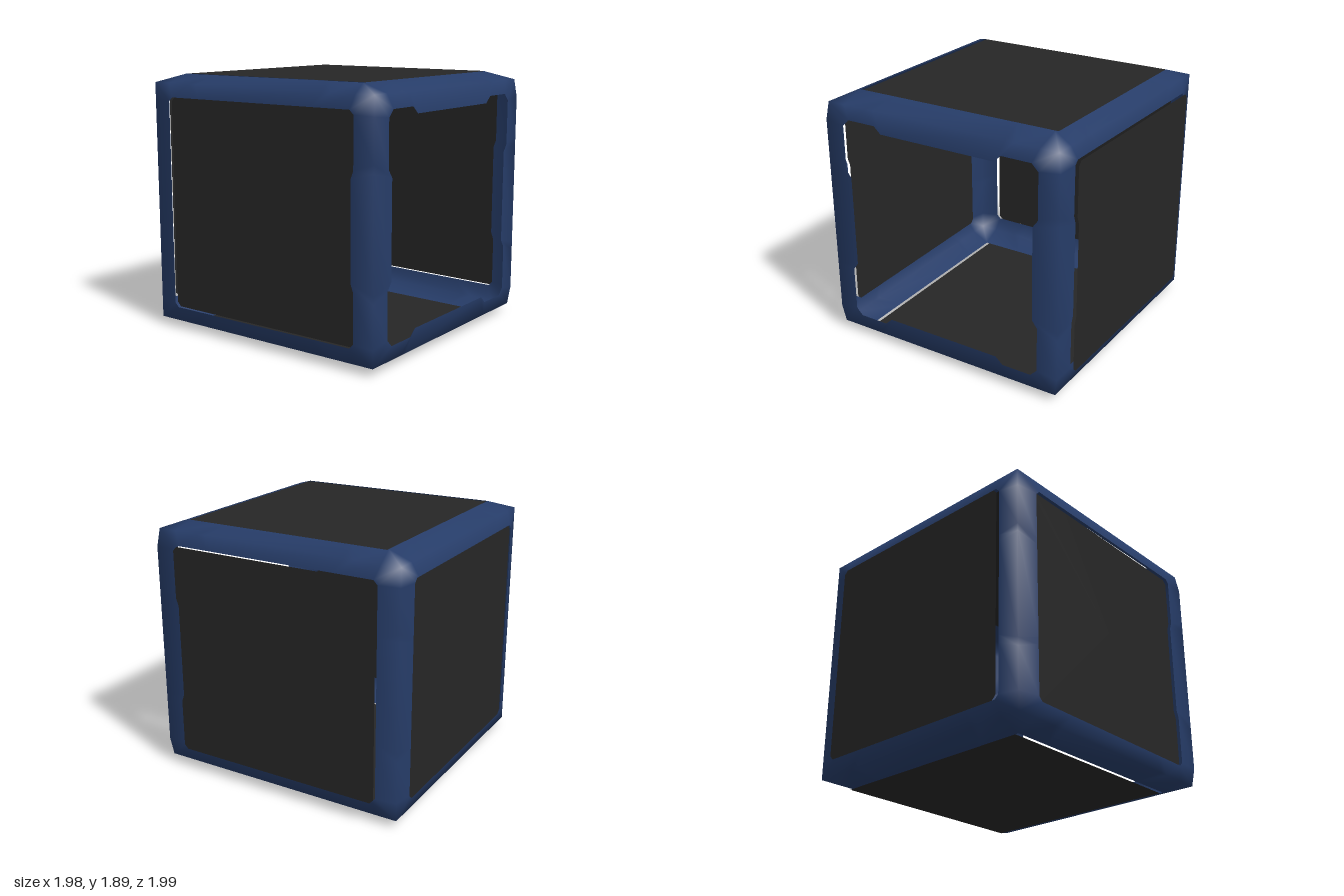
import * as THREE from 'three';
import { mergeVertices } from 'three/addons/utils/BufferGeometryUtils.js';

const V = (x, y, z) => new THREE.Vector3(x, y, z);
const LOW = 0.17, HIGH = 1.73;

// outer corner of the frame; the front is slightly narrower than the back
function corner(sx, sy, sz) {
  const y = sy > 0 ? 1.83 : 0.06;
  if (sz > 0) return sx > 0 ? V(0.895, y, 0.975) : V(-0.955, y, 0.965);
  return sx > 0 ? V(0.94, y, -0.95) : V(-0.97, y, -0.965);
}

// upright wall opening from its two lower corners
const wall = (a, b) => [V(a[0], LOW, a[1]), V(b[0], LOW, b[1]), V(b[0], HIGH, b[1]), V(a[0], HIGH, a[1])];

// corners run counter-clockwise as seen from outside; tabs = tab depth per side
const FACES = [
  { name: 'front', signs: [[-1, -1, 1], [1, -1, 1], [1, 1, 1], [-1, 1, 1]],
    hole: wall([-0.82, 0.985], [0.76, 0.995]), tabs: [0.05, 0.04, 0.05, 0.04], chamfer: 0.05 },
  { name: 'back', signs: [[1, -1, -1], [-1, -1, -1], [-1, 1, -1], [1, 1, -1]],
    hole: wall([0.79, -0.985], [-0.83, -0.995]), tabs: [0, 0, 0, 0], chamfer: 0.03 },
  { name: 'left', signs: [[1, -1, 1], [1, -1, -1], [1, 1, -1], [1, 1, 1]],
    hole: wall([0.925, 0.82], [0.965, -0.8]), tabs: [0, 0, 0, 0.02], chamfer: 0.03 },
  { name: 'right', signs: [[-1, -1, -1], [-1, -1, 1], [-1, 1, 1], [-1, 1, -1]],
    hole: wall([-0.995, -0.8], [-0.975, 0.82]), tabs: [0, 0.02, 0, 0], chamfer: 0.03 },
  { name: 'top', signs: [[-1, 1, 1], [1, 1, 1], [1, 1, -1], [-1, 1, -1]],
    hole: [V(-0.815, 1.89, 0.78), V(0.76, 1.89, 0.79), V(0.79, 1.89, -0.785), V(-0.82, 1.89, -0.8)],
    tabs: [0, 0, 0, 0], chamfer: 0 },
  { name: 'bottom', signs: [[-1, -1, -1], [1, -1, -1], [1, -1, 1], [-1, -1, 1]],
    hole: [V(-0.82, 0, -0.8), V(0.79, 0, -0.785), V(0.76, 0, 0.79), V(-0.815, 0, 0.78)],
    tabs: [0, 0, 0, 0], chamfer: 0 },
];

// the front uprights swell outwards between their ends
function swell(p) {
  if (p.z > 0.9 && Math.abs(p.y - 0.945) < 0.85) {
    p.x += Math.sign(p.x) * 0.02;
    p.z += 0.015;
  }
  return p;
}

// matching loops of points: the opening and the outer ridge around it
function loops({ signs, hole, tabs, chamfer }) {
  const inner = [], outer = [];
  for (let k = 0; k < 4; k++) {
    const a = hole[k], b = hole[(k + 1) % 4];
    const inward = hole[(k + 2) % 4].clone().sub(b).normalize();
    const p = corner(...signs[k]), q = corner(...signs[(k + 1) % 4]);
    const upright = signs[k][1] !== signs[(k + 1) % 4][1];
    const [s, t] = upright ? [0.245, 0.28] : [0.175, 0.21];
    const e = chamfer / a.distanceTo(b);
    const along = [e, e, s, t, 1 - t, 1 - s, 1 - e, 1 - e];
    const ridge = [0, 0.075, s, t, 1 - t, 1 - s, 0.925, 1];
    along.forEach((f, i) => {
      const depth = i === 3 || i === 4 ? tabs[k] : 0;
      inner.push(a.clone().lerp(b, f).addScaledVector(inward, depth));
      outer.push(swell(p.clone().lerp(q, ridge[i])));
    });
  }
  return { inner, outer };
}

function meshFrom(points, material, name) {
  let geometry = new THREE.BufferGeometry().setFromPoints(points);
  geometry = mergeVertices(geometry, 1e-4);
  geometry.computeVertexNormals();
  const mesh = new THREE.Mesh(geometry, material);
  mesh.name = name;
  return mesh;
}

export function createModel() {
  const group = new THREE.Group();
  group.name = 'panelledCube';
  const blue = new THREE.MeshStandardMaterial({ color: 0x263c68, side: THREE.DoubleSide });
  const dark = new THREE.MeshStandardMaterial({ color: 0x262626, side: THREE.DoubleSide });
  const framePoints = [];

  for (const face of FACES) {
    const { inner, outer } = loops(face);
    const n = inner.length;

    // border of the frame on this face
    for (let i = 0; i < n; i++) {
      const j = (i + 1) % n;
      framePoints.push(outer[i], outer[j], inner[j], outer[i], inner[j], inner[i]);
    }

    // infill panel, set slightly towards the left; the front stays open
    if (face.name === 'front') continue;
    const centre = V(0, 0, 0);
    face.hole.forEach((c) => centre.addScaledVector(c, 0.25));
    const fan = [];
    for (let i = 0; i < n; i++) fan.push(centre, inner[i], inner[(i + 1) % n]);
    const panel = meshFrom(fan, dark, face.name + 'Panel');
    panel.position.x = 0.025;
    group.add(panel);
  }

  group.add(meshFrom(framePoints, blue, 'frame'));
  return group;
}
